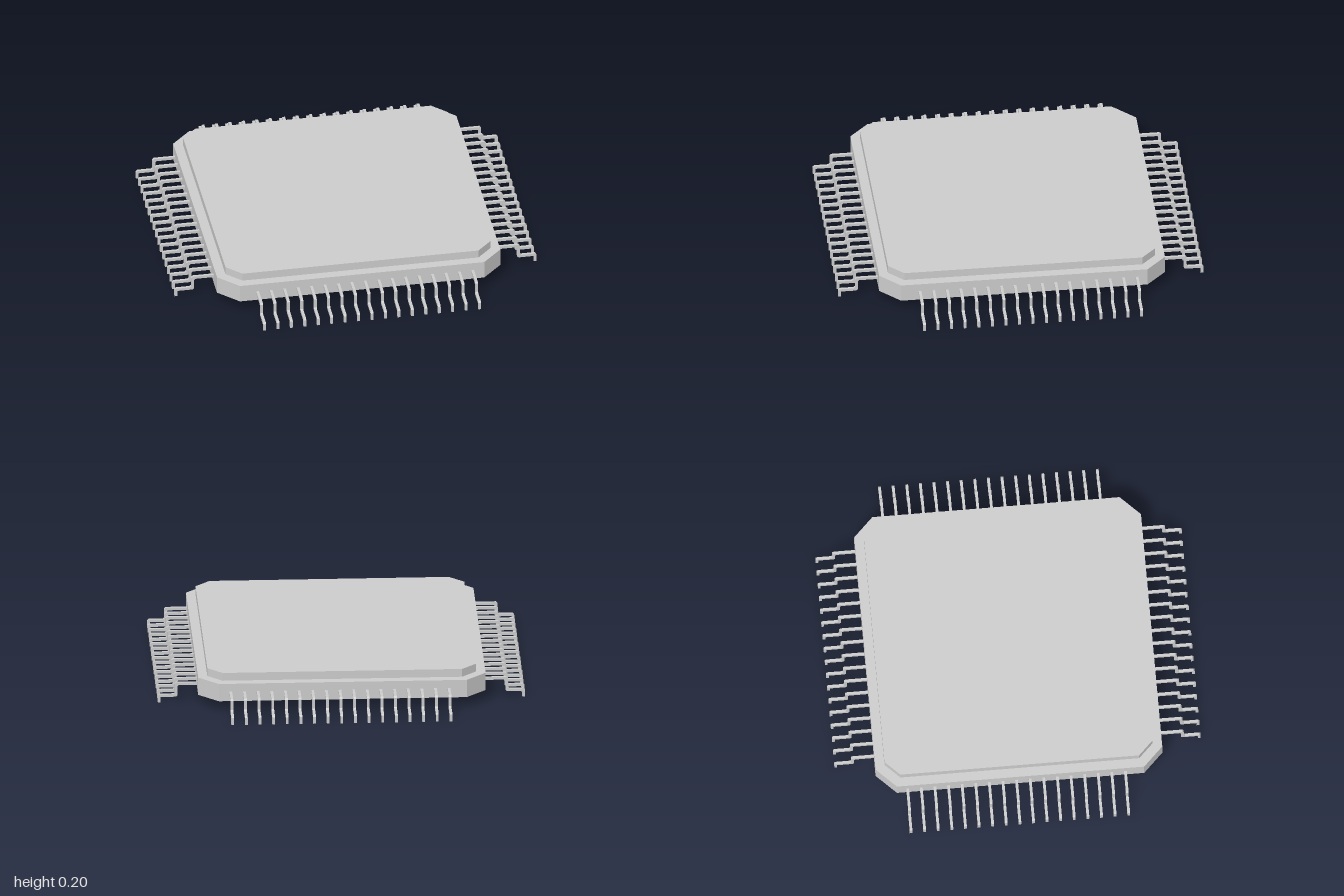
import * as THREE from 'three';

const material = new THREE.MeshStandardMaterial({ color: 0xcccccc, flatShading: true });

// Square slab with chamfered corners, extruded upwards from y0 to y1
function slab(name, half, chamfer, y0, y1) {
  const c = half - chamfer;
  const outline = [[half, -c], [half, c], [c, half], [-c, half], [-half, c], [-half, -c], [-c, -half], [c, -half]];
  const shape = new THREE.Shape(outline.map(([x, y]) => new THREE.Vector2(x, y)));
  const geometry = new THREE.ExtrudeGeometry(shape, { depth: y1 - y0, bevelEnabled: false });
  geometry.rotateX(-Math.PI / 2).translate(0, y0, 0);
  const mesh = new THREE.Mesh(geometry, material);
  mesh.name = name;
  return mesh;
}

// Stepped lead running outwards along +x, with slightly clipped bends
function leadGeometry(width) {
  const profile = [
    [0.77, 0.115], [0.9, 0.115], [0.908, 0.107], [0.908, 0.055], [0.915, 0.048],
    [0.992, 0.048], [1, 0.04], [1, 0], [0.985, 0], [0.985, 0.033],
    [0.901, 0.033], [0.893, 0.041], [0.893, 0.093], [0.886, 0.1], [0.77, 0.1],
  ];
  const shape = new THREE.Shape(profile.map(([x, y]) => new THREE.Vector2(x, y)));
  const geometry = new THREE.ExtrudeGeometry(shape, { depth: width, bevelEnabled: false });
  return geometry.translate(0, 0, -width / 2);
}

export function createModel() {
  const model = new THREE.Group();
  model.name = 'chipPackage';
  model.add(slab('body', 0.783, 0.108, 0.06, 0.16));
  model.add(slab('lid', 0.732, 0.08, 0.16, 0.205));

  // Rows of leads: the spacing is slightly off centre on each side
  const count = 17, pitch = 0.0743;
  const geometry = leadGeometry(0.015);
  const rows = [
    ['leftLeads', 0, 'z', -0.617],
    ['rightLeads', Math.PI, 'z', -0.617],
    ['frontLeads', -Math.PI / 2, 'x', -0.578],
    ['backLeads', Math.PI / 2, 'x', -0.578],
  ];
  for (const [name, angle, axis, start] of rows) {
    const row = new THREE.Group();
    row.name = name;
    for (let i = 0; i < count; i++) {
      const lead = new THREE.Mesh(geometry, material);
      lead.name = 'lead';
      lead.rotation.y = angle;
      lead.position[axis] = start + i * pitch;
      row.add(lead);
    }
    model.add(row);
  }
  return model;
}
